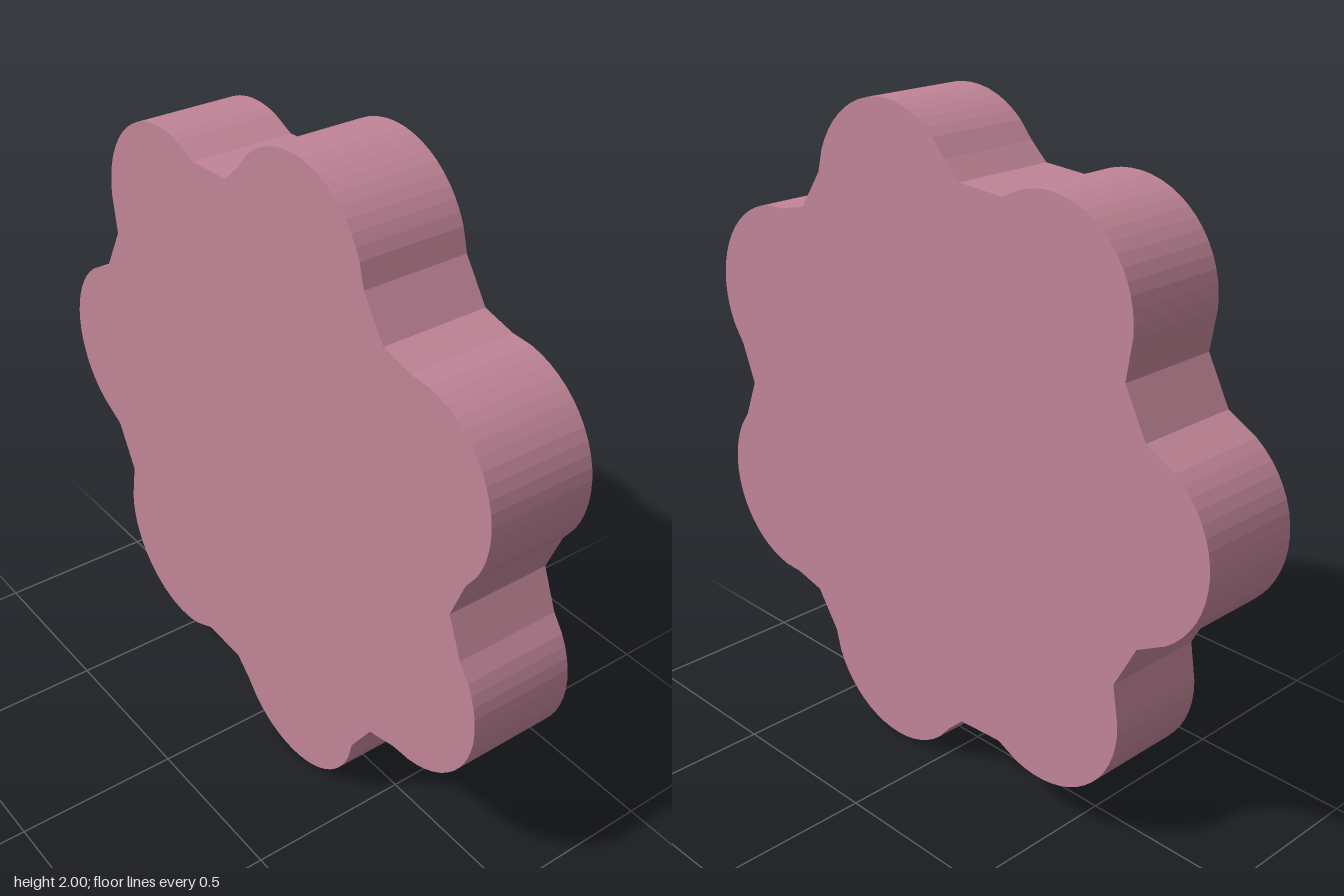
import * as THREE from 'three';

const LOBES = 7, STEP = (2 * Math.PI) / LOBES, DEG = Math.PI / 180;
const LOBE_DIST = 0.725, LOBE_R = 0.293;      // round lobe arcs
const VALLEY_DIST = 0.998, VALLEY_R = 0.174;  // concave arcs tangent to the lobes
const CENTRE_X = 0.036, DEPTH = 0.326;

// coarse facet angles (degrees from the valley axis), mirrored for negative valleys
const FACETS = [[-7.9, 0, 7.9], [-7.7, -1.5, 7.5], [-7.7, -3.5, 6.9], [-4.9, 5.7]];

function outline() {
  const points = [];
  const add = (r, a) => points.push(new THREE.Vector2(r * Math.cos(a), r * Math.sin(a)));
  for (let k = -3; k <= 3; k++) {
    // valley facets
    const facets = FACETS[Math.abs(k)];
    const offsets = k < 0 ? facets.map((a) => -a).reverse() : facets;
    for (const o of offsets) {
      const s = VALLEY_DIST * Math.sin(o * DEG);
      const r = VALLEY_DIST * Math.cos(o * DEG) - Math.sqrt(VALLEY_R ** 2 - s * s);
      add(r, k * STEP + o * DEG);
    }
    // lobe arc that follows
    const axis = (k + 0.5) * STEP;
    for (let i = 0; i <= 16; i++) {
      const a = axis + (-55 + (110 * i) / 16) * DEG;
      points.push(new THREE.Vector2(
        LOBE_DIST * Math.cos(axis) + LOBE_R * Math.cos(a),
        LOBE_DIST * Math.sin(axis) + LOBE_R * Math.sin(a)));
    }
  }
  return new THREE.Shape(points);
}

export function createModel() {
  const group = new THREE.Group();
  group.name = 'lobedDisc';

  // solid seven-lobed plate standing on edge
  const geometry = new THREE.ExtrudeGeometry(outline(), { depth: DEPTH, bevelEnabled: false });
  geometry.translate(CENTRE_X, 1, -DEPTH / 2);
  const material = new THREE.MeshStandardMaterial({ color: 0xc08497 });
  const plate = new THREE.Mesh(geometry, material);
  plate.name = 'plate';
  group.add(plate);
  return group;
}
